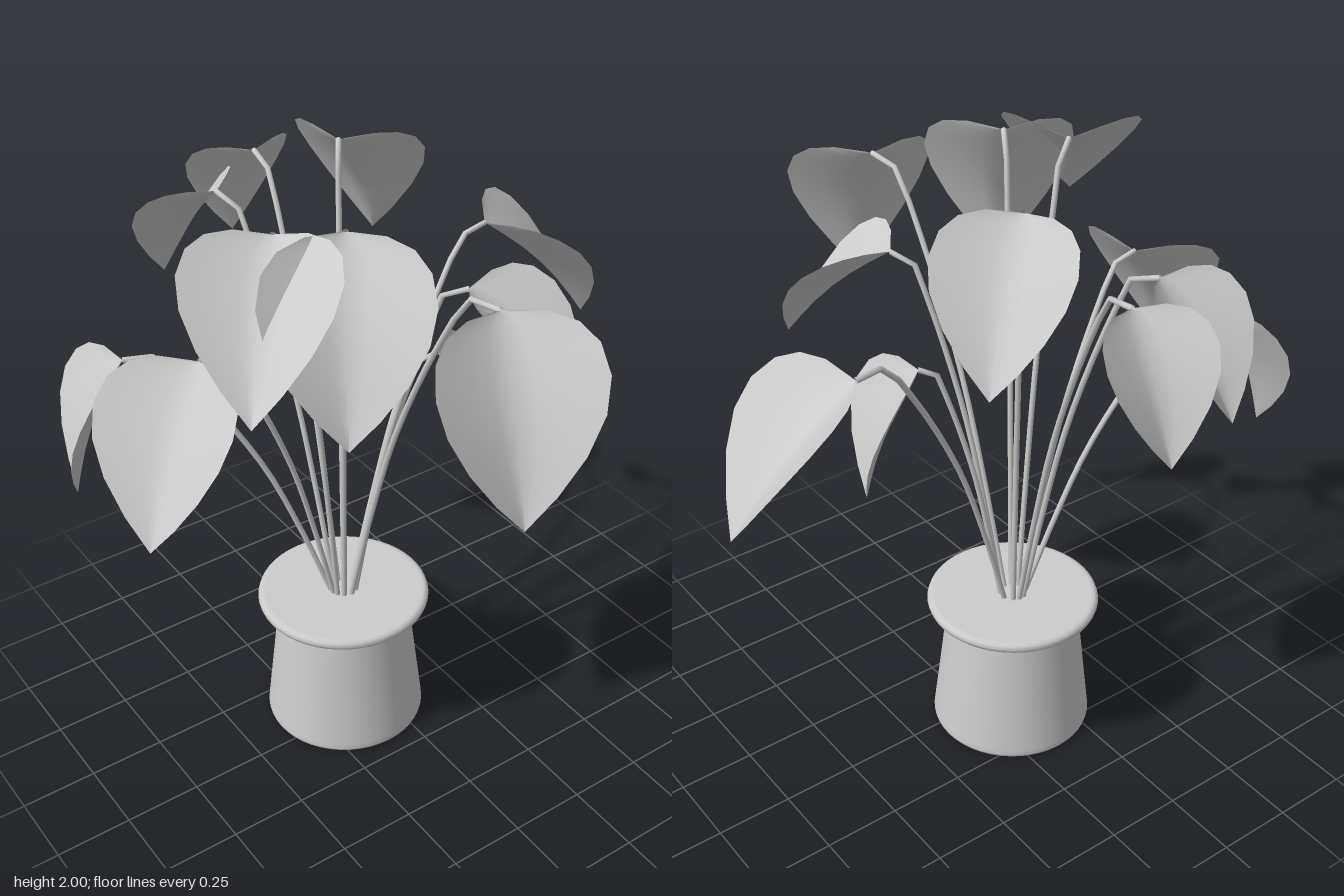
import * as THREE from 'three';

const POT = new THREE.Vector3(-0.07, 0, 0.11);

// Each plant shoot: leaf base (where the stem ends) and leaf tip
const SHOOTS = [
  [[-0.20, 1.60, -0.54], [-0.13, 1.19, -0.92]],
  [[-0.28, 1.98, -0.04], [-0.45, 1.56, -0.28]],
  [[-0.65, 1.83, 0.03], [-0.87, 1.46, 0.0]],
  [[-0.52, 1.80, 0.245], [-0.78, 1.44, 0.31]],
  [[-0.30, 1.48, 0.71], [-0.36, 1.04, 0.875]],
  [[-0.02, 1.58, 0.61], [0.14, 1.135, 0.89]],
  [[0.09, 1.96, 0.42], [0.41, 1.62, 0.70]],
  [[0.22, 1.98, 0.275], [0.43, 1.45, 0.415]],
  [[0.59, 1.84, 0.045], [0.84, 1.315, 0.135]],
  [[0.24, 1.69, -0.13], [0.545, 1.355, -0.32]],
  [[0.06, 1.38, -0.16], [0.125, 0.945, -0.32]],
];

// Stem path as [fraction of reach, fraction of height]
const STEM = [[0, 0], [0.16, 0.28], [0.35, 0.56], [0.66, 0.87], [0.84, 0.995], [1, 1]];

// Leaf outline as half-widths at positions along the midrib
const LEAF_T = [0, 0.02, 0.08, 0.18, 0.33, 0.5, 0.68, 0.85, 1];
const LEAF_W = [0.06, 0.46, 0.76, 0.94, 1, 0.91, 0.68, 0.36, 0];

// Unit-length leaf hanging along -y, its halves raised toward +z
function makeLeafGeometry() {
  const rows = LEAF_T.length - 1, cols = 8;
  const geo = new THREE.PlaneGeometry(2, 1, cols, rows);
  const pos = geo.attributes.position;
  for (let i = 0; i < pos.count; i++) {
    const row = Math.floor(i / (cols + 1));
    const u = pos.getX(i), t = LEAF_T[row], half = 0.4 * LEAF_W[row];
    const lift = 0.45 * half * Math.pow(Math.abs(u), 1.25) + 0.05 * Math.sin(Math.PI * t);
    pos.setXYZ(i, u * half, -t, lift);
  }
  geo.computeVertexNormals();
  return geo;
}

export function createModel() {
  const group = new THREE.Group();
  const grey = new THREE.MeshStandardMaterial({ color: 0xcccccc, side: THREE.DoubleSide });
  grey.name = 'light grey';

  const add = (name, geometry) => {
    const mesh = new THREE.Mesh(geometry, grey);
    mesh.name = name;
    group.add(mesh);
    return mesh;
  };
  const lathe = (points) => new THREE.LatheGeometry(points.map(p => new THREE.Vector2(...p)), 48);

  // Pot body, wider at the foot
  add('potBody', lathe([[0, 0], [0.255, 0], [0.264, 0.004], [0.266, 0.012], [0.264, 0.03],
    [0.25, 0.15], [0.235, 0.28], [0.214, 0.47]])).position.copy(POT);

  // Rounded rim and closed top
  add('potRim', lathe([[0.205, 0.466], [0.272, 0.466], [0.28, 0.471], [0.284, 0.483],
    [0.28, 0.495], [0.27, 0.5], [0.26, 0.5], [0, 0.5]])).position.copy(POT);

  const leafGeometry = makeLeafGeometry();
  const up = new THREE.Vector3(0, 1, 0);

  SHOOTS.forEach(([b, t]) => {
    const base = new THREE.Vector3(...b), tip = new THREE.Vector3(...t);

    // Stem: rises from the pot centre and bends over at the top
    const out = base.clone().sub(POT).setY(0).normalize();
    const root = POT.clone().addScaledVector(out, 0.04).setY(0.49);
    const path = STEM.map(([reach, height]) => new THREE.Vector3(
      THREE.MathUtils.lerp(root.x, base.x, reach),
      THREE.MathUtils.lerp(root.y, base.y, height),
      THREE.MathUtils.lerp(root.z, base.z, reach)));
    add('stem', new THREE.TubeGeometry(new THREE.CatmullRomCurve3(path), 14, 0.009, 8));

    // Leaf: hangs from the stem end toward its tip
    const along = tip.clone().sub(base);
    const length = along.length();
    along.normalize();
    const side = up.clone().cross(along).normalize();
    const normal = along.clone().cross(side);
    const leaf = add('leaf', leafGeometry);
    leaf.quaternion.setFromRotationMatrix(
      new THREE.Matrix4().makeBasis(side, along.clone().negate(), normal));
    leaf.scale.setScalar(length);
    leaf.position.copy(base);
  });

  return group;
}
